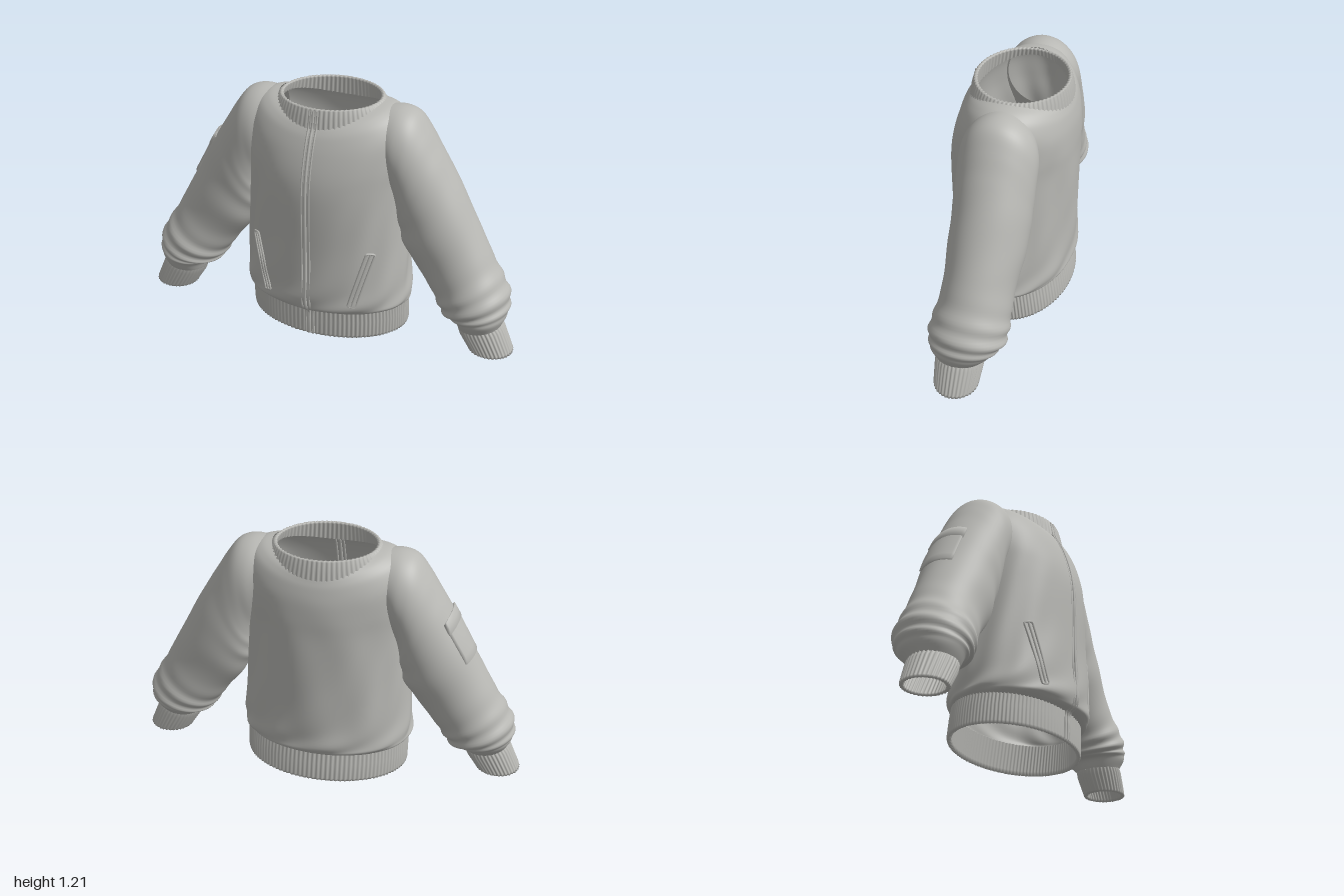
import * as THREE from 'three';

const TAU = Math.PI * 2;
const fabric = new THREE.MeshStandardMaterial({ color: 0xb8b8b4, side: THREE.DoubleSide });
fabric.name = 'greyFabric';

// Smoothly subdivide a short list of section rows (Catmull-Rom on every column)
function smooth(rows, k) {
  const out = [];
  const at = (i) => rows[Math.max(0, Math.min(rows.length - 1, i))];
  for (let i = 0; i < rows.length - 1; i++) {
    for (let j = 0; j < k; j++) {
      const t = j / k;
      out.push(rows[i].map((b, c) => {
        const a = at(i - 1)[c], d = at(i + 1)[c], e = at(i + 2)[c];
        return b + 0.5 * t * (d - a + t * (2 * a - 5 * b + 4 * d - e + t * (3 * (b - d) + e - a)));
      }));
    }
  }
  out.push(rows[rows.length - 1]);
  return out;
}

// Skin a grid of points; closed sections share their first and last column
function skin(name, rows, cols, closed, fn) {
  const pos = [], idx = [];
  const w = closed ? cols : cols + 1;
  for (let r = 0; r < rows; r++) for (let c = 0; c < w; c++) pos.push(...fn(r, c / cols));
  for (let r = 0; r < rows - 1; r++) {
    for (let c = 0; c < cols; c++) {
      const a = r * w + c, b = r * w + ((c + 1) % w);
      idx.push(a, a + w, b, b, a + w, b + w);
    }
  }
  const g = new THREE.BufferGeometry();
  g.setAttribute('position', new THREE.Float32BufferAttribute(pos, 3));
  g.setIndex(idx);
  g.computeVertexNormals();
  const m = new THREE.Mesh(g, fabric);
  m.name = name;
  return m;
}

// Body section [y at front/back, y at sides, half width, front z, back z]
function oval([yf, ys, hw, zf, zb], a, off = 0) {
  const c = Math.cos(a), s = Math.sin(a);
  return [(hw + off) * c, yf + (ys - yf) * c * c, (zf + zb) / 2 + ((zf - zb) / 2 + off) * s];
}

// Sleeve section [outer x, outer y, inner x, inner y, centre z, half depth]
function cuffOval([ox, oy, ix, iy, zc, zr], side, a, off = 0) {
  const hx = (ox - ix) / 2, hy = (oy - iy) / 2, grow = 1 + off / Math.hypot(hx, hy);
  const c = Math.cos(a) * grow;
  return [side * ((ox + ix) / 2 + hx * c), (oy + iy) / 2 + hy * c, zc - side * (zr + off) * Math.sin(a)];
}

const bodyRows = smooth([
  [0.145, 0.145, 0.415, 0.262, -0.285], [0.165, 0.165, 0.435, 0.295, -0.305],
  [0.2, 0.2, 0.437, 0.312, -0.313], [0.3, 0.3, 0.43, 0.312, -0.31],
  [0.5, 0.5, 0.42, 0.308, -0.31], [0.7, 0.7, 0.412, 0.31, -0.312],
  [0.82, 0.84, 0.412, 0.306, -0.312], [0.91, 0.96, 0.42, 0.292, -0.312],
  [1.0, 1.08, 0.415, 0.266, -0.306], [1.07, 1.16, 0.375, 0.238, -0.292],
  [1.105, 1.195, 0.32, 0.218, -0.28], [1.125, 1.205, 0.265, 0.203, -0.272],
], 5);

const sleeveRows = smooth([
  [0.29, 1.195, 0.31, 0.85, -0.03, 0.16], [0.37, 1.2, 0.34, 0.78, -0.03, 0.185],
  [0.44, 1.175, 0.36, 0.72, -0.03, 0.19], [0.5, 1.1, 0.37, 0.66, -0.03, 0.19],
  [0.55, 1.02, 0.37, 0.62, -0.03, 0.19], [0.6, 0.94, 0.38, 0.58, -0.03, 0.188],
  [0.68, 0.8, 0.39, 0.53, -0.03, 0.188], [0.77, 0.633, 0.43, 0.45, -0.022, 0.178],
  [0.83, 0.52, 0.515, 0.34, -0.016, 0.172], [0.88, 0.43, 0.57, 0.26, -0.008, 0.178],
  [0.925, 0.36, 0.6, 0.215, 0, 0.188], [0.952, 0.29, 0.625, 0.182, 0.004, 0.186],
  [0.957, 0.24, 0.655, 0.172, 0.012, 0.172], [0.95, 0.2, 0.69, 0.16, 0.022, 0.155],
  [0.93, 0.148, 0.715, 0.115, 0.032, 0.118],
], 5);

// Soft cloth folds
function bodyFold(r, a) {
  const u = r / (bodyRows.length - 1);
  const low = Math.exp(-(((u - 0.22) / 0.13) ** 2)), mid = Math.sin(Math.PI * Math.min(1, u * 1.3));
  return low * 0.004 * Math.sin(a * 7 + r * 0.7)
    + Math.max(0, mid) * 0.005 * Math.cos(a) ** 2 * Math.sin(a * 14 + r * 0.35)
    + Math.max(0, mid) * 0.003 * Math.max(0, -Math.sin(a)) * Math.sin(a * 9 - r * 0.2);
}
function sleeveFold(r, a) {
  const elbow = Math.exp(-(((r - 54) / 9) ** 2)), pit = Math.exp(-(((r - 31) / 7) ** 2));
  return elbow * 0.007 * Math.sin(r * 0.95 + 1.6 * Math.cos(a + 0.6))
    + pit * 0.005 * (0.6 - 0.4 * Math.cos(a)) * Math.sin(r * 0.7 + 3 * Math.sin(a));
}

// Knitted band: rows run over both faces, with narrow ribs around
function band(name, rows, ribs, point) {
  return skin(name, rows.length, ribs * 4, true, (r, u) =>
    point(rows[r], u * TAU, 0.003 * Math.cos(u * TAU * ribs)));
}

// Piping along a list of points
function piping(name, pts, radius, closed = false) {
  const curve = new THREE.CatmullRomCurve3(pts.map((p) => new THREE.Vector3(...p)), closed, 'centripetal');
  const m = new THREE.Mesh(new THREE.TubeGeometry(curve, 64, radius, 6, closed), fabric);
  m.name = name;
  return m;
}

function createSleeve(side) {
  const g = new THREE.Group();
  g.name = side > 0 ? 'leftSleeve' : 'rightSleeve';
  g.add(skin('sleeve', sleeveRows.length, 64, true, (r, u) =>
    cuffOval(sleeveRows[r], side, u * TAU, sleeveFold(r, u * TAU))));
  g.add(band('cuff', [
    [0.92, 0.165, 0.715, 0.115, 0.032, 0.112], [0.945, 0.13, 0.725, 0.085, 0.032, 0.115],
    [0.993, 0.018, 0.772, 0.012, 0.035, 0.106], [0.996, 0.006, 0.775, 0.004, 0.035, 0.104],
    [0.983, 0.006, 0.79, 0.004, 0.035, 0.092], [0.98, 0.018, 0.787, 0.014, 0.035, 0.092],
    [0.915, 0.15, 0.735, 0.11, 0.032, 0.095],
  ], 36, (row, a, off) => cuffOval(row, side, a, off)));
  return g;
}

// Raised patch following the sleeve, over rows r0..r1 and angles a0..a1
function sleevePatch(name, side, r0, r1, a0, a1, height) {
  const n = r1 - r0 + 2;
  return skin(name, n + 1, 18, false, (i, u) => {
    const r = Math.max(r0, Math.min(r1, r0 + i - 1));
    const c = Math.max(0, Math.min(1, (u * 18 - 1) / 16));
    const rim = i === 0 || i === n || u === 0 || u === 1;
    const a = a0 + (a1 - a0) * c;
    return cuffOval(sleeveRows[r], side, a, sleeveFold(r, a) + (rim ? -0.004 : height));
  });
}

export function createModel() {
  const jacket = new THREE.Group();
  jacket.name = 'jacket';

  // Body
  jacket.add(skin('body', bodyRows.length, 96, true, (r, u) =>
    oval(bodyRows[r], u * TAU, bodyFold(r, u * TAU))));

  // Ribbed hem and collar
  jacket.add(band('hem', [
    [0.155, 0.155, 0.4, 0.245, -0.27], [0.02, 0.02, 0.402, 0.242, -0.29],
    [0.002, 0.002, 0.403, 0.244, -0.292], [0, 0, 0.415, 0.256, -0.304],
    [0.014, 0.014, 0.419, 0.26, -0.308], [0.09, 0.09, 0.42, 0.262, -0.297],
    [0.155, 0.155, 0.417, 0.264, -0.285],
  ], 110, oval));
  jacket.add(band('collar', [
    [1.115, 1.185, 0.275, 0.213, -0.28], [1.16, 1.198, 0.265, 0.206, -0.274],
    [1.203, 1.205, 0.256, 0.196, -0.264], [1.21, 1.21, 0.252, 0.191, -0.26],
    [1.208, 1.208, 0.243, 0.181, -0.25], [1.2, 1.2, 0.242, 0.18, -0.25],
    [1.115, 1.17, 0.25, 0.19, -0.258],
  ], 70, oval));

  // Sleeves, with a flapped patch pocket on the right one
  for (const side of [1, -1]) jacket.add(createSleeve(side));
  jacket.add(sleevePatch('sleevePocket', -1, 26, 33, -0.62, 0.42, 0.009));
  jacket.add(sleevePatch('sleevePocketFlap', -1, 26, 28, -0.64, 0.44, 0.014));

  // Front zip: a centre line of teeth between two placket edges
  const zipPath = (x, lift) => [
    [0.008, 0.259], [0.08, 0.262], [0.145, 0.266], [0.17, 0.297], [0.2, 0.311], [0.3, 0.311], [0.5, 0.307],
    [0.7, 0.309], [0.82, 0.305], [0.91, 0.291], [1.0, 0.265], [1.07, 0.238], [1.12, 0.212], [1.2, 0.196],
  ].map(([y, z]) => [x, y, z + lift]);
  jacket.add(piping('zipTeeth', zipPath(0, 0), 0.008));
  for (const x of [-0.02, 0.02]) jacket.add(piping('zipEdge', zipPath(x, -0.002), 0.006));

  // Slanted welt pockets lying on the body front
  const onFront = (x, y) => [x, y, 0.31 * Math.sqrt(1 - (x / 0.428) ** 2) + 0.002];
  for (const side of [1, -1]) {
    const along = (t, across) => onFront(side * (0.226 + 0.08 * t + across), 0.215 + 0.29 * t - across * 0.27);
    const steps = [0, 0.02, 0.25, 0.5, 0.75, 0.98, 1];
    const outline = [...steps.map((t) => along(t, 0.018)), ...steps.slice().reverse().map((t) => along(t, -0.018))];
    jacket.add(piping('pocketWelt', outline, 0.006, true));
    jacket.add(piping('pocketOpening', steps.map((t) => along(t, 0)), 0.006));
  }
  return jacket;
}
